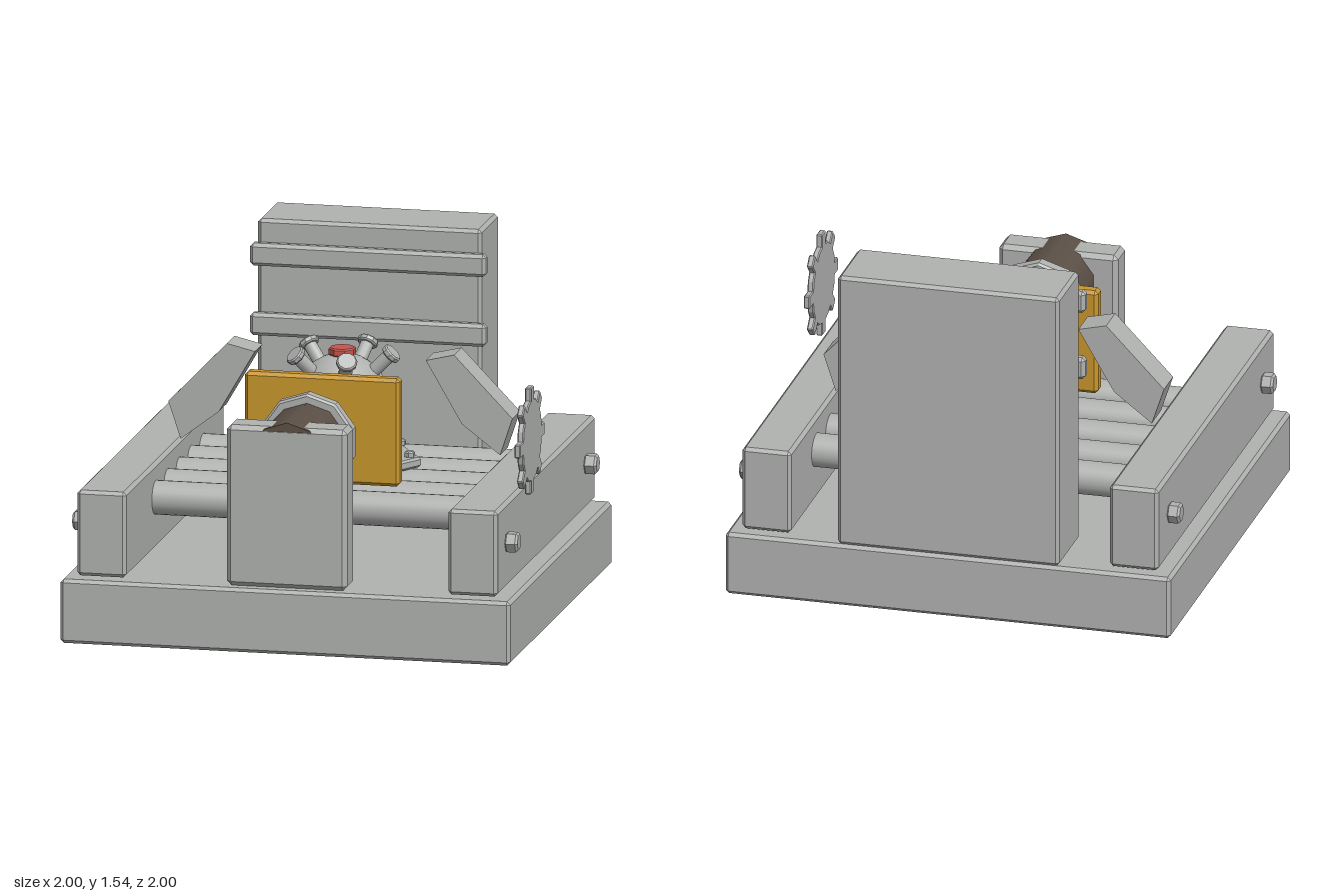
import * as THREE from 'three';
import { ConvexGeometry } from 'three/addons/geometries/ConvexGeometry.js';

export function createModel() {
  const root = new THREE.Group();
  const mat = (name, color, extra = {}) => {
    const m = new THREE.MeshStandardMaterial({ color, ...extra });
    m.name = name;
    return m;
  };
  const grey = mat('steelGrey', 0xb0b2b0);
  const gold = mat('goldPaint', 0xc8962c);
  const brown = mat('darkBrown', 0x5c5046);
  const red = mat('capRed', 0xc9544c);

  const add = (name, geo, material, x = 0, y = 0, z = 0, parent = root) => {
    const m = new THREE.Mesh(geo, material);
    m.name = name;
    m.position.set(x, y, z);
    parent.add(m);
    return m;
  };

  // Box with chamfered edges, centred on its origin
  const chamferBox = (w, h, d, b = 0.015) => {
    const pts = [];
    for (const sx of [-1, 1]) for (const sy of [-1, 1]) for (const sz of [-1, 1]) {
      for (let k = 0; k < 3; k++) {
        const c = [0, 1, 2].map(i => (i === k ? 0 : b));
        pts.push(new THREE.Vector3(sx * (w / 2 - c[0]), sy * (h / 2 - c[1]), sz * (d / 2 - c[2])));
      }
    }
    return new ConvexGeometry(pts);
  };
  const boxFromTo = (name, material, x0, x1, y0, y1, z0, z1, b) =>
    add(name, chamferBox(x1 - x0, y1 - y0, z1 - z0, b), material, (x0 + x1) / 2, (y0 + y1) / 2, (z0 + z1) / 2);

  // Flat-sided prism with chamfered rims, rising from y = 0
  const prism = (r, h, sides, b = 0.01) => {
    const profile = [[0, 0], [r - b, 0], [r, b], [r, h - b], [r - b, h], [0, h]];
    const g = new THREE.LatheGeometry(profile.map(p => new THREE.Vector2(...p)), sides).toNonIndexed();
    g.computeVertexNormals();
    return g;
  };

  // Base, rear tower and its bands
  boxFromTo('base', grey, -1, 1, 0, 0.285, -1, 1);
  boxFromTo('rearTower', grey, -0.5, 0.495, 0.285, 1.54, -1, -0.66);
  for (const y of [1.03, 1.34]) boxFromTo('towerBand', grey, -0.525, 0.525, y, y + 0.1, -0.665, -0.61);

  // Side rails with hexagonal bolts
  for (const s of [-1, 1]) {
    add('sideRail', chamferBox(0.22, 0.38, 1.92), grey, s * 0.825, 0.485, 0);
    for (const z of [-0.77, 0.77]) {
      const bolt = add('railBolt', prism(0.047, 0.06, 6), grey, s * 0.93, 0.5, z);
      bolt.rotation.z = -s * Math.PI / 2;
    }
  }

  // Rollers between the rails
  for (let i = 0; i < 5; i++) {
    const roller = add('roller', new THREE.CylinderGeometry(0.075, 0.075, 1.43, 24), grey, 0, 0.525, -0.54 + i * 0.23);
    roller.rotation.z = Math.PI / 2;
  }

  // Pusher: block, motor, flange, shaft and plate
  boxFromTo('motorBlock', grey, -0.27, 0.265, 0.285, 1.0, 0.81, 0.96, 0.02);
  const alongZ = (name, geo, material, z) => {
    add(name, geo, material, 0, 0.85, z).rotation.x = Math.PI / 2;
  };
  alongZ('motor', new THREE.CylinderGeometry(0.173, 0.173, 0.4, 10), brown, 0.759);
  alongZ('motorFlange', prism(0.213, 0.07, 10), grey, 0.5);
  alongZ('pushShaft', new THREE.CylinderGeometry(0.08, 0.08, 0.24, 16), grey, 0.39);
  boxFromTo('pushPlate', gold, -0.345, 0.345, 0.6, 1.08, 0.21, 0.28);

  // Central vessel on a hexagonal platform
  const vessel = new THREE.Group();
  vessel.name = 'vessel';
  vessel.position.set(0, 0, -0.12);
  root.add(vessel);
  add('platform', prism(0.35, 0.045, 6), grey, 0, 0.6, 0, vessel).rotation.y = Math.PI / 2;
  for (let i = 0; i < 8; i++) {
    const a = i * Math.PI / 4;
    add('platformBolt', prism(0.024, 0.03, 6, 0.006), grey, 0.3 * Math.cos(a), 0.64, 0.3 * Math.sin(a), vessel);
  }
  add('vesselSeat', prism(0.19, 0.045, 10), brown, 0, 0.64, 0, vessel);
  add('sphere', new THREE.SphereGeometry(0.205, 20, 14), grey, 0, 0.885, 0, vessel);
  add('equatorRing', prism(0.258, 0.035, 8), grey, 0, 0.87, 0, vessel).rotation.y = Math.PI / 8;
  add('topCap', prism(0.06, 0.035, 8, 0.006), red, 0, 1.083, 0, vessel).rotation.y = Math.PI / 8;
  for (let i = 0; i < 5; i++) {
    const a = i * Math.PI * 2 / 5;
    // Angled port with a wider head
    const port = new THREE.Group();
    port.name = 'port';
    port.position.set(0, 0.88, 0);
    const dir = new THREE.Vector3(Math.cos(a), 1, Math.sin(a)).normalize();
    port.quaternion.setFromUnitVectors(new THREE.Vector3(0, 1, 0), dir);
    vessel.add(port);
    add('portTube', new THREE.CylinderGeometry(0.03, 0.03, 0.13, 12), grey, 0, 0.235, 0, port);
    add('portHead', prism(0.046, 0.028, 10, 0.006), grey, 0, 0.295, 0, port);
    // Foot clamp between the ports
    const f = a + Math.PI / 5;
    add('footClamp', chamferBox(0.11, 0.07, 0.07, 0.008), brown,
      0.195 * Math.cos(f), 0.675, 0.195 * Math.sin(f), vessel).rotation.y = -f;
  }

  // Angled side shields
  for (const s of [-1, 1]) {
    const outline = [[0.38, 1.085], [0.54, 0.81], [0.71, 0.68], [0.765, 0.845], [0.505, 1.115]];
    const shape = new THREE.Shape(outline.map(([x, y]) => new THREE.Vector2(s * x, y)));
    add('sideShield', new THREE.ExtrudeGeometry(shape, { depth: 0.15, bevelEnabled: false }), grey, 0, 0, -0.235);
  }

  // Toothed wheel above the left rail
  const gear = new THREE.Group();
  gear.name = 'toothedWheel';
  gear.position.set(0.965, 0.885, 0.46);
  root.add(gear);
  const disc = add('wheelDisc', prism(0.185, 0.028, 16, 0.005), grey, 0.014, 0, 0, gear);
  disc.rotation.z = Math.PI / 2;
  for (let i = 0; i < 8; i++) {
    const a = i * Math.PI / 4;
    const tooth = add('wheelTooth', chamferBox(0.028, 0.09, 0.06, 0.005), grey,
      0, 0.192 * Math.cos(a), 0.192 * Math.sin(a), gear);
    tooth.rotation.x = a;
  }
  return root;
}
